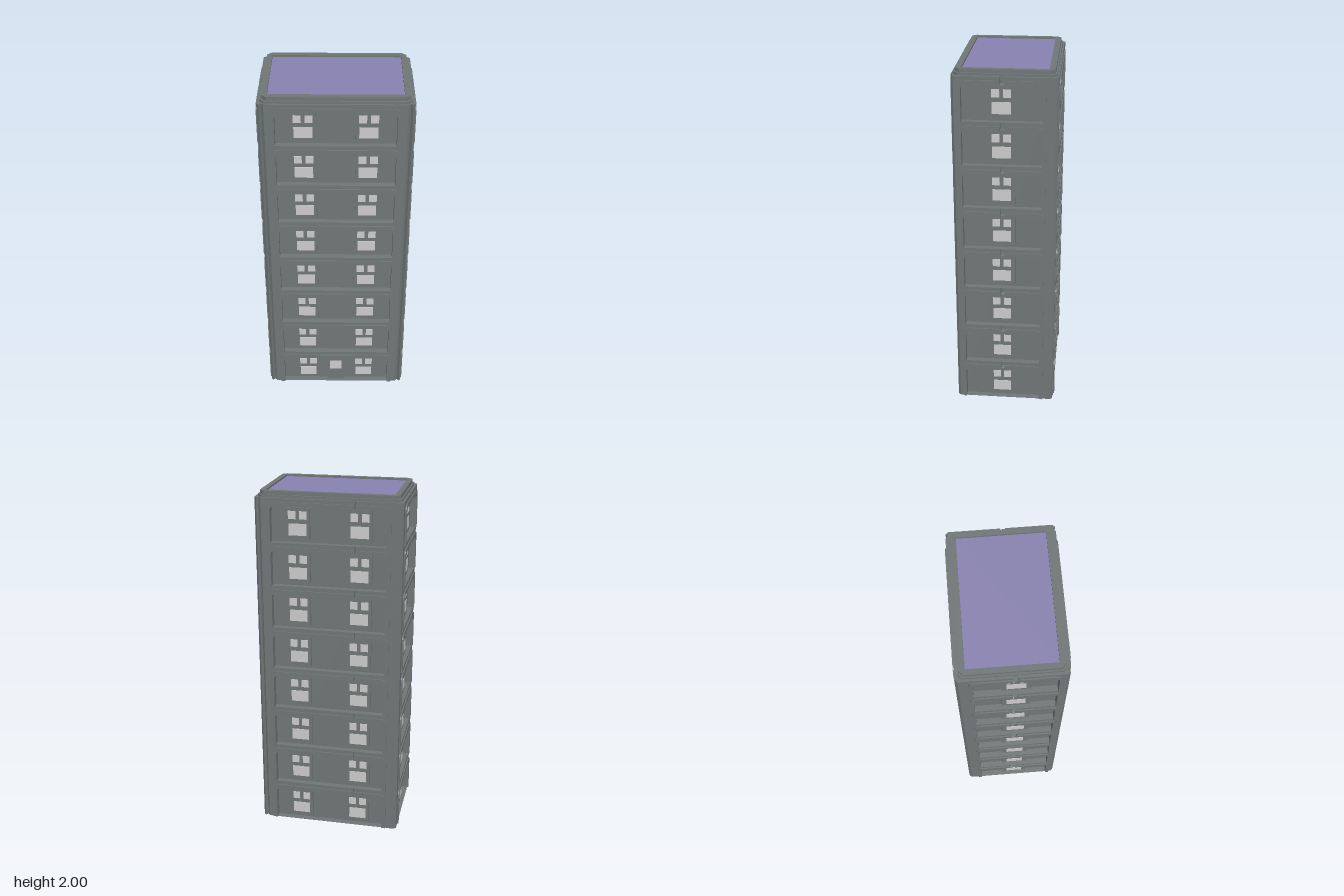
import * as THREE from 'three';

const wallMat = new THREE.MeshStandardMaterial({ color: 0x707676 });
wallMat.name = 'concrete grey';
const glassMat = new THREE.MeshStandardMaterial({ color: 0xcccccc });
glassMat.name = 'pale glass';
const roofMat = new THREE.MeshStandardMaterial({ color: 0x8882b0 });
roofMat.name = 'roof violet';

const FLOORS = 8, PITCH = 0.246, PANEL_H = 0.2, WALL_TOP = 1.967;

function add(parent, name, geo, mat = wallMat) {
  const m = new THREE.Mesh(geo, mat);
  m.name = name;
  parent.add(m);
  return m;
}

// Box given by its minimum and maximum corners
function block(parent, name, x0, x1, y0, y1, z0, z1, mat) {
  const g = new THREE.BoxGeometry(x1 - x0, y1 - y0, z1 - z0);
  g.translate((x0 + x1) / 2, (y0 + y1) / 2, (z0 + z1) / 2);
  return add(parent, name, g, mat);
}

function extrude(shape, z, depth) {
  return new THREE.ExtrudeGeometry(shape, { depth, bevelEnabled: false, curveSegments: 4 }).translate(0, 0, z);
}

const poly = pts => new THREE.Shape(pts.map(p => new THREE.Vector2(...p)));

// Opening with rounded upper corners
function archHole(c, half, y0, y1, r = 0.03) {
  const p = new THREE.Path();
  p.moveTo(c - half, y0);
  p.lineTo(c - half, y1 - r);
  p.quadraticCurveTo(c - half, y1, c - half + r, y1);
  p.lineTo(c + half - r, y1);
  p.quadraticCurveTo(c + half, y1, c + half, y1 - r);
  p.lineTo(c + half, y0);
  p.closePath();
  return p;
}

// Half of the raised moulding round one panel: s is the side, edge its inner end
function halfTrim(c, s, edge, inner, outer) {
  const h0 = PANEL_H, h1 = PANEL_H + 0.024, r = 0.03, R = 0.045;
  const o = c + s * outer, i = c + s * inner, p = new THREE.Shape();
  p.moveTo(o, 0);
  p.lineTo(o, h1 - R);
  p.quadraticCurveTo(o, h1, o - s * R, h1);
  p.lineTo(edge, h1);
  p.lineTo(edge, h0);
  p.lineTo(i - s * r, h0);
  p.quadraticCurveTo(i, h0, i, h0 - r);
  p.lineTo(i, 0);
  p.closePath();
  return p;
}

// Window with two small upper panes and one wide lower pane
function addWindow(parent, u, y, z, half) {
  block(parent, 'windowFrame', u - half, u + half, y + 0.02, y + 0.193, z, z + 0.015);
  const f = z + 0.013, b = z + 0.017;
  for (const s of [-1, 1])
    block(parent, 'upperPane', u + s * 0.031 - 0.021, u + s * 0.031 + 0.021, y + 0.13, y + 0.175, f, b, glassMat);
  block(parent, 'lowerPane', u - 0.05, u + 0.05, y + 0.04, y + 0.106, f, b, glassMat);
}

// One facade in its own plane, facing local +z at distance D
function facade(root, name, o) {
  const { D, half, c, inner, outer, windows, frameHalf, slot, gap, angle } = o;
  const g = new THREE.Group();
  g.name = name;
  g.rotation.y = angle;
  root.add(g);
  const back = D - 0.04, s0 = slot - gap / 2, s1 = slot + gap / 2;

  // Pierced outer wall, with a narrow joint between the floors
  const outline = [[-half, 0], [half, 0], [half, WALL_TOP]];
  const lastTop = (FLOORS - 1) * PITCH + PANEL_H + 0.003;
  if (gap) outline.push([s1, WALL_TOP], [s1, lastTop], [s0, lastTop], [s0, WALL_TOP]);
  outline.push([-half, WALL_TOP]);
  const wall = poly(outline);
  for (let k = 0; k < FLOORS; k++) {
    const y = k * PITCH;
    wall.holes.push(archHole(c, inner, Math.max(y, 0.002), y + PANEL_H));
    if (gap && k < FLOORS - 1) {
      const a = y + PANEL_H + 0.003, b = y + PITCH - 0.003;
      wall.holes.push(new THREE.Path([[s0, a], [s0, b], [s1, b], [s1, a]].map(p => new THREE.Vector2(...p))));
    }
  }
  add(g, 'piercedWall', extrude(wall, back, 0.033));
  block(g, 'recessedPanel', -half, half, 0, WALL_TOP, back - 0.01, back);

  for (let k = 0; k < FLOORS; k++) {
    const y = k * PITCH;
    for (const s of [-1, 1]) {
      const t = halfTrim(c, s, s > 0 ? s1 : s0, inner, outer);
      add(g, 'panelTrim', extrude(t, D - 0.007, 0.007)).position.y = y;
    }
    for (const u of windows) addWindow(g, u, y, back, frameHalf);
  }
  return g;
}

// Vertical prism from plan points (x, z)
function prism(pts, y, h, hole) {
  const s = poly(pts.map(([x, z]) => [x, -z]));
  if (hole) s.holes.push(poly(hole.map(([x, z]) => [x, -z])));
  return extrude(s, 0, h).rotateX(-Math.PI / 2).translate(0, y, 0);
}

const chamfered = (x, z, c) => [
  [x - c, z], [x, z - c], [x, c - z], [x - c, -z], [c - x, -z], [-x, c - z], [-x, z - c], [c - x, z]];

export function createModel() {
  const root = new THREE.Group();
  root.name = 'towerBlock';

  // Four facades
  const wide = { D: 0.29, half: 0.372, c: 0, inner: 0.32, outer: 0.344, windows: [-0.172, 0.172], frameHalf: 0.068 };
  const narrow = { D: 0.415, half: 0.247, inner: 0.215, outer: 0.235, frameHalf: 0.077, gap: 0.024 };
  const front = facade(root, 'frontFacade', { ...wide, slot: 0, gap: 0, angle: 0 });
  facade(root, 'backFacade', { ...wide, slot: 0.15, gap: 0.005, angle: Math.PI });
  for (const s of [1, -1]) {
    const c = -s * 0.015;
    facade(root, s > 0 ? 'leftFacade' : 'rightFacade',
      { ...narrow, c, slot: -s * 0.012, windows: [-s * 0.018], angle: s * Math.PI / 2 });
  }

  // Entrance door, glazed on both faces
  block(front, 'door', -0.055, 0.055, 0, 0.18, 0.25, 0.268);
  block(front, 'doorPane', -0.038, 0.036, 0.092, 0.16, 0.266, 0.27, glassMat);
  block(front, 'doorInside', -0.055, 0.055, 0, 0.18, 0.234, 0.24);
  block(front, 'doorPaneInside', -0.038, 0.036, 0.092, 0.16, 0.232, 0.235, glassMat);

  // Grooved corner posts
  for (const sx of [-1, 1]) for (const sz of [-1, 1]) {
    const grooved = [[0.37, 0.283], [0.385, 0.268], [0.396, 0.281], [0.408, 0.268]];
    const plain = [[0.37, 0.285], [0.393, 0.285], [0.408, 0.27]];
    const pts = [[0.365, 0.24], ...(sx < 0 && sz < 0 ? plain : grooved), [0.408, 0.24]];
    add(root, 'cornerPost', prism(pts.map(([x, z]) => [sx * x, sz * z]), 0, WALL_TOP));
  }

  // Stepped parapet and sunken roof
  const opening = [[0.355, 0.23], [0.355, -0.23], [-0.355, -0.23], [-0.355, 0.23]];
  add(root, 'parapetBase', prism(chamfered(0.394, 0.272, 0.025), 1.955, 0.025, opening));
  add(root, 'parapetRim', prism(chamfered(0.385, 0.263, 0.025), 1.98, 0.02, opening));
  block(root, 'roof', -0.355, 0.355, 1.982, 1.99, -0.23, 0.23, roofMat);
  block(root, 'ceiling', -0.37, 0.37, 1.95, 1.956, -0.245, 0.245);
  return root;
}
